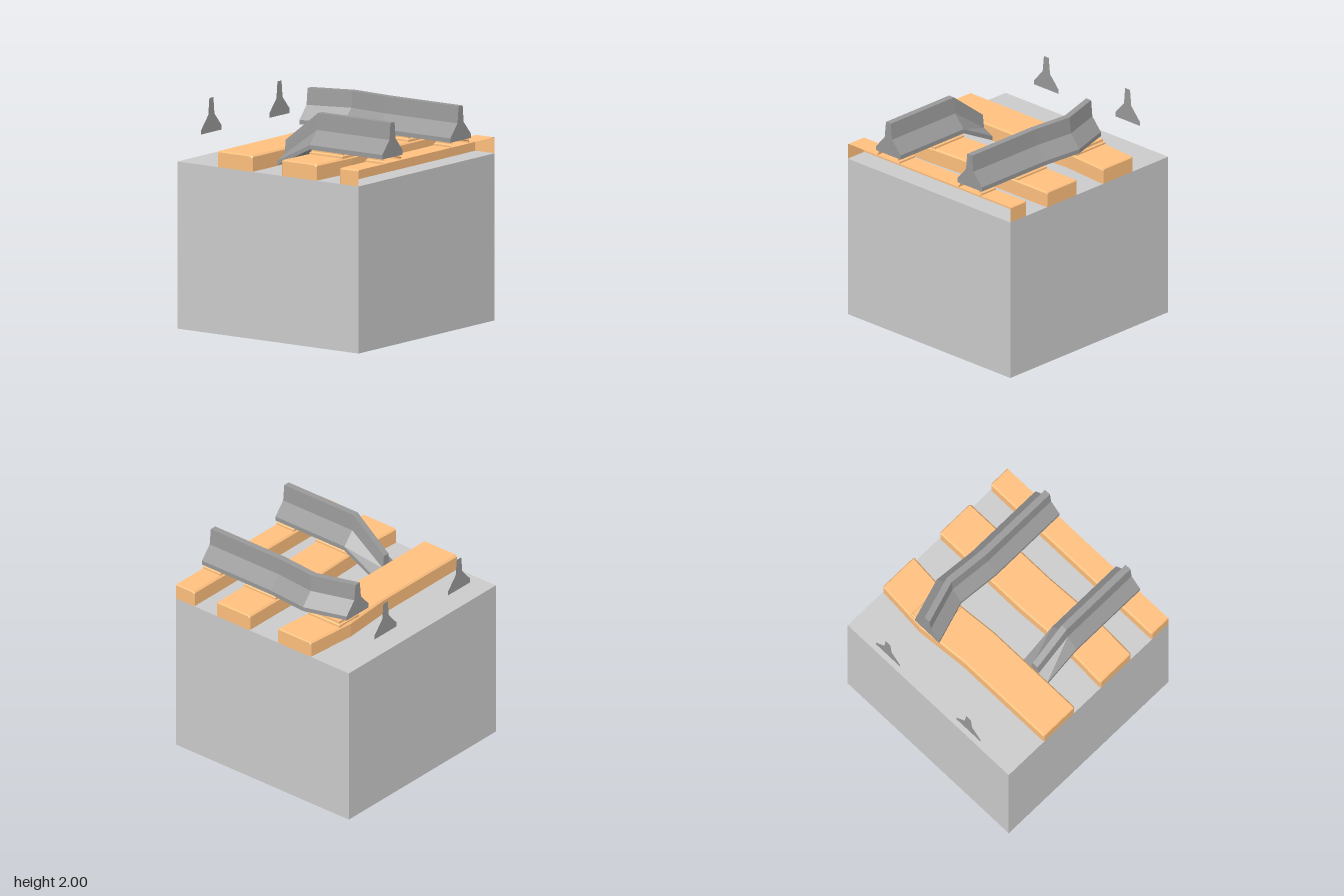
import * as THREE from 'three';

const material = (color) => new THREE.MeshStandardMaterial({ color, flatShading: true, side: THREE.DoubleSide });
const stone = material(0xcccccc);
const steel = material(0x999999);
const wood = material(0xffc07e);

// Joins rings of [x, y, z] points; capAxes picks the two axes used to fill the end rings
function loft(rings, { closed = true, capStart = true, capEnd = true, capAxes = [0, 1] } = {}) {
  const pos = [];
  const n = rings[0].length;
  for (let r = 0; r < rings.length - 1; r++) {
    for (let i = 0; i < (closed ? n : n - 1); i++) {
      const j = (i + 1) % n;
      const a = rings[r][i], b = rings[r][j], c = rings[r + 1][j], d = rings[r + 1][i];
      pos.push(...a, ...d, ...c, ...a, ...c, ...b);
    }
  }
  const cap = (ring, flip) => {
    const flat = ring.map((p) => new THREE.Vector2(p[capAxes[0]], p[capAxes[1]]));
    for (const [a, b, c] of THREE.ShapeUtils.triangulateShape(flat, [])) {
      pos.push(...ring[a], ...ring[flip ? c : b], ...ring[flip ? b : c]);
    }
  };
  if (capStart) cap(rings[0], false);
  if (capEnd) cap(rings[rings.length - 1], true);
  const geo = new THREE.BufferGeometry();
  geo.setAttribute('position', new THREE.Float32BufferAttribute(pos, 3));
  geo.computeVertexNormals();
  return geo;
}

function add(group, name, geo, mat) {
  const mesh = new THREE.Mesh(geo, mat);
  mesh.name = name;
  group.add(mesh);
  return mesh;
}

// Rail profile: half widths and heights from foot to head
const halfWidths = [0.15, 0.15, 0.045, 0.03];
const straightHeights = [1.69, 1.73, 1.85, 2];
const brokenHeights = [1.51, 1.55, 1.6, 1.72];

function railRing(x, z, heights = straightHeights) {
  const right = heights.map((y, i) => [x, y, z + halfWidths[i]]);
  const left = heights.map((y, i) => [x, y, z - halfWidths[i]]).reverse();
  return [...right, ...left];
}

// Sleeper running along z with bevelled edges; path is a list of [z, shift in x]
function sleeper(x0, x1, path, halved = false) {
  const ring = (z, shift, inset) => {
    const l = x0 + shift + inset, r = x1 + shift - inset, top = 1.645 - inset;
    const side = [[l, 1.5, z], [l, top - 0.015, z], [l + 0.015, top, z]];
    return halved
      ? [...side, [x1, top, z], [x1, 1.5, z]]
      : [...side, [r - 0.015, top, z], [r, top - 0.015, z], [r, 1.5, z]];
  };
  const rings = [
    ring(1, 0, 0.01), ring(0.99, 0, 0),
    ...path.map(([z, shift]) => ring(z, shift, 0)),
    ring(-0.99, 0, 0), ring(-1, 0, 0.01),
  ];
  // A halved sleeper has no wall on its cut side
  const geo = loft(rings, { closed: false });
  if (!halved) return geo;
  const body = loft(rings.map((r) => r.slice(0, 4)), { closed: false, capStart: false, capEnd: false });
  const ends = [rings[0], rings[rings.length - 1]].map((r, i) =>
    loft([r, r], { closed: false, capStart: i === 0, capEnd: i === 1 }));
  const merged = new THREE.BufferGeometry();
  const all = [body, ...ends].flatMap((g) => Array.from(g.attributes.position.array));
  merged.setAttribute('position', new THREE.Float32BufferAttribute(all, 3));
  merged.computeVertexNormals();
  return merged;
}

// Stepped plate between a sleeper and a rail
function plate(x0, x1, z, halved = false) {
  const steps = [[1.64, 0], [1.66, 0], [1.672, 0.014], [1.692, 0.014]];
  const rings = steps.map(([y, inset]) => {
    const l = x0 + inset, r = halved ? x1 : x1 - inset, d = 0.135 - inset;
    return [[r, y, z - d], [l, y, z - d], [l, y, z + d], [r, y, z + d]];
  });
  return loft(rings, { closed: !halved, capStart: false, capAxes: [0, 2] });
}

export function createModel() {
  const group = new THREE.Group();

  // Base block
  add(group, 'baseBlock', new THREE.BoxGeometry(2, 1.5, 2), stone).position.y = 0.75;

  // Sleepers: two slightly bent, one cut at the block edge
  add(group, 'bentSleeper', sleeper(-0.56, -0.17, [[0, 0], [-0.5, -0.04]]), wood);
  add(group, 'middleSleeper', sleeper(0.15, 0.537, [[0.5, 0.022], [0, 0]]), wood);
  add(group, 'edgeSleeper', sleeper(0.79, 1, [], true), wood);

  // Plates under the rails
  add(group, 'bentSleeperPlate', plate(-0.58, -0.215, -0.5), wood);
  for (const z of [-0.5, 0.5]) {
    const shift = z > 0 ? 0.022 : 0;
    add(group, 'middlePlate', plate(0.162 + shift, 0.525 + shift, z), wood);
    add(group, 'edgePlate', plate(0.803, 1, z, true), wood);
  }

  // Back rail bends sideways, front rail bends down to the block
  const endAxes = { capAxes: [2, 1] };
  const backRail = [railRing(-0.6, -0.41), railRing(-0.2, -0.535), railRing(0.2, -0.5), railRing(1, -0.5)];
  const frontRail = [railRing(-0.16, 0.495, brokenHeights), railRing(0.2, 0.5), railRing(1, 0.5)];
  add(group, 'backRail', loft(backRail, endAxes), steel);
  add(group, 'frontRail', loft(frontRail, endAxes), steel);

  // Thin rail end faces on the far edge of the block
  for (const z of [-0.5, 0.5]) {
    const outline = railRing(-1, z).map(([, y, pz]) => new THREE.Vector2(-pz, y));
    const face = new THREE.ShapeGeometry(new THREE.Shape(outline));
    face.rotateY(Math.PI / 2).translate(-1, 0, 0);
    add(group, 'railEndFace', face, steel);
  }

  return group;
}
